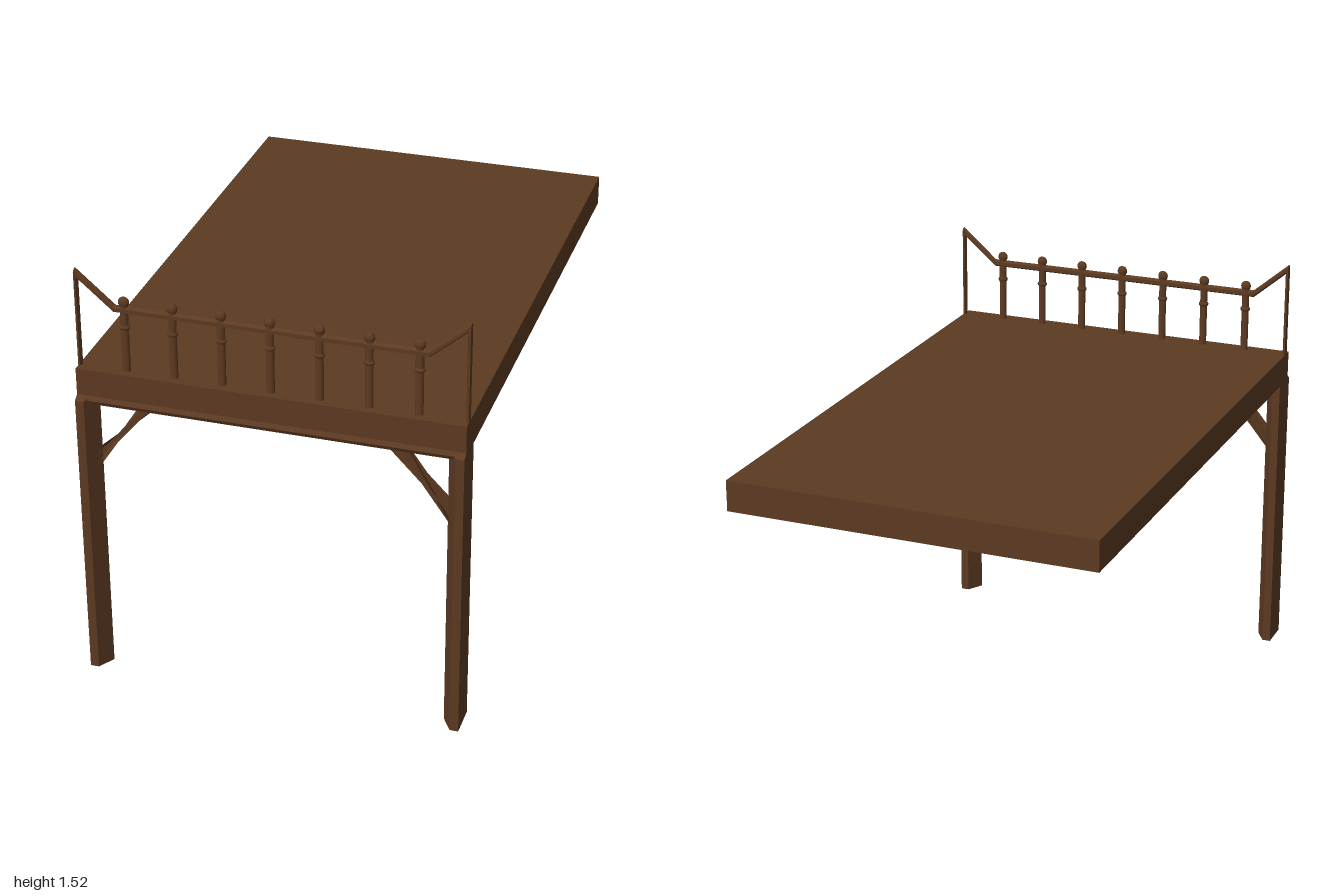
import * as THREE from 'three';

// Skin a list of equal-length rings of [x, y, z] points, with fan caps.
function loft(rings) {
  const tris = [];
  const n = rings[0].length;
  for (let s = 0; s < rings.length - 1; s++) {
    for (let i = 0; i < n; i++) {
      const j = (i + 1) % n;
      const [a, b, c, d] = [rings[s][i], rings[s][j], rings[s + 1][j], rings[s + 1][i]];
      tris.push([a, b, c], [a, c, d]);
    }
  }
  const last = rings[rings.length - 1];
  for (let i = 1; i < n - 1; i++) {
    tris.push([rings[0][0], rings[0][i + 1], rings[0][i]], [last[0], last[i], last[i + 1]]);
  }
  // Flip the winding when the enclosed volume comes out negative
  const o = new THREE.Vector3(...rings[0][0]);
  const v = (p) => new THREE.Vector3(...p).sub(o);
  const volume = tris.reduce((sum, [a, b, c]) => sum + v(a).dot(v(b).cross(v(c))), 0);
  const flat = tris.flatMap(([a, b, c]) => (volume < 0 ? [a, c, b] : [a, b, c])).flat();
  const geo = new THREE.BufferGeometry();
  geo.setAttribute('position', new THREE.Float32BufferAttribute(flat, 3));
  geo.computeVertexNormals();
  return geo;
}

// Hexagonal outline with a flat side of height 2h facing the front
const hexagon = (h, w) => [[0.5, 1], [-0.5, 1], [-1, 0], [-0.5, -1], [0.5, -1], [1, 0]]
  .map(([a, b]) => [a * h, b * w]);

export function createModel() {
  const model = new THREE.Group();
  const wood = new THREE.MeshStandardMaterial({ color: 0x5c3a21 });
  wood.name = 'dark wood';
  const add = (parent, name, geo, x = 0, y = 0, z = 0) => {
    const mesh = new THREE.Mesh(geo, wood);
    mesh.name = name;
    mesh.position.set(x, y, z);
    parent.add(mesh);
    return mesh;
  };

  // Deck slab
  add(model, 'deck', new THREE.BoxGeometry(1.32, 0.11, 1.98), 0, 1.11, -0.01);

  // Shallow beam under the front edge, bevelled towards the deck
  const beamOutline = [[1.04, 0.9], [1.04, 0.98], [1.055, 0.988], [1.07, 0.98], [1.07, 0.9]];
  add(model, 'frontBeam', loft([-0.655, 0.655].map((x) => beamOutline.map(([y, z]) => [x, y, z]))));

  const railZ = 0.943;
  for (const side of [-1, 1]) {
    const name = side > 0 ? 'left' : 'right';

    // Half-hexagon support post with a sloped front top edge
    const outline = [[0.66, 1], [0.63, 1], [0.595, 0.9425], [0.63, 0.885], [0.66, 0.885]];
    add(model, name + 'Post', loft([0, 1.055, 1.07].map((y) =>
      outline.map(([x, z]) => [side * x, y, y > 1.06 ? Math.min(z, 0.98) : z]))));

    // Diagonal brace, cut upright at the post and level at the deck
    const section = hexagon(0.034, 0.035);
    add(model, name + 'Brace', loft([
      section.map(([a, b]) => [side * 0.618, 0.806 + a * 1.18, railZ + b]),
      section.map(([a, b]) => [side * (0.408 - a), 1.06, railZ + b]),
    ]));

    // Slim half-hexagon upright at the end of the railing
    const slim = [[0.66, 0.013], [0.654, 0.013], [0.648, 0], [0.654, -0.013], [0.66, -0.013]];
    add(model, name + 'RailingUpright', loft([1.16, 1.505].map((y) =>
      slim.map(([x, z]) => [side * x, y, railZ + z]))));
  }

  // Handrail, level in the middle and rising to both ends
  const railPath = [[-0.66, 1.502], [-0.527, 1.388], [0.527, 1.388], [0.66, 1.502]];
  add(model, 'handrail', loft(railPath.map(([x, y]) =>
    hexagon(0.0135, 0.012).map(([a, b]) => [x, y + a, railZ + b]))));

  // Turned balusters with a ring and a ball on top
  const shaft = new THREE.CylinderGeometry(0.014, 0.014, 0.245, 12);
  const ring = new THREE.SphereGeometry(0.019, 12, 8).scale(1, 0.65, 0.75);
  const ball = new THREE.SphereGeometry(0.019, 14, 10).scale(1, 1, 0.68);
  shaft.scale(1, 1, 0.8);
  for (let i = 0; i < 7; i++) {
    const baluster = new THREE.Group();
    baluster.name = 'baluster';
    baluster.position.set((i - 3) * 0.165, 0, railZ);
    add(baluster, 'shaft', shaft, 0, 1.282, 0);
    add(baluster, 'ring', ring, 0, 1.325, 0);
    add(baluster, 'ball', ball, 0, 1.415, 0);
    model.add(baluster);
  }
  return model;
}
